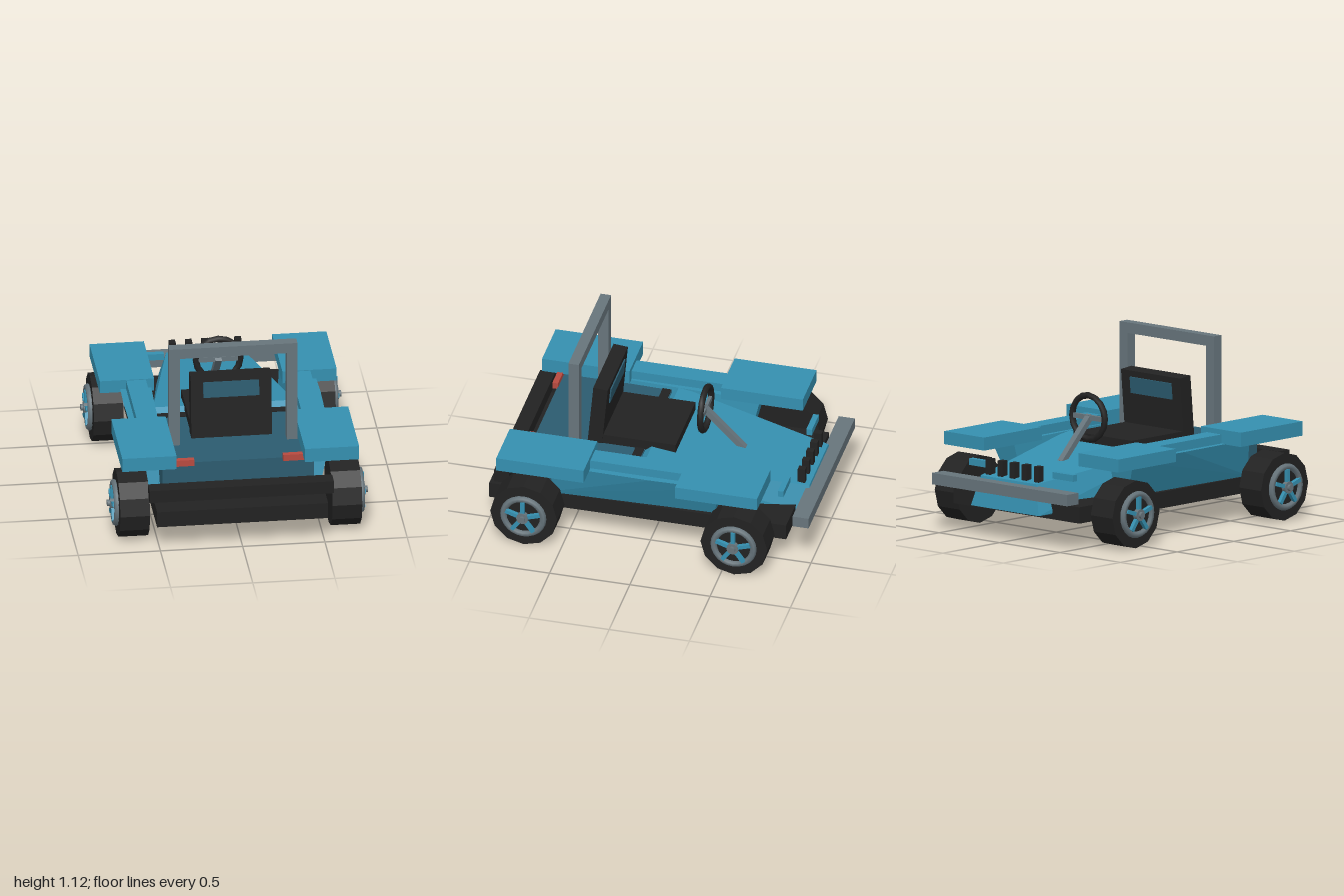
import * as THREE from 'three';
import { ConvexGeometry } from 'three/addons/geometries/ConvexGeometry.js';

const mat = (name, color) => {
  const m = new THREE.MeshStandardMaterial({ color });
  m.name = name;
  return m;
};

export function createModel() {
  const blue = mat('body blue', 0x3590b0);
  const teal = mat('dark teal', 0x2c5c70);
  const black = mat('black', 0x222222);
  const grey = mat('metal grey', 0x67757c);
  const red = mat('lamp red', 0xb84a40);
  const model = new THREE.Group();
  model.name = 'buggy';

  const add = (name, geometry, material, parent = model) => {
    const mesh = new THREE.Mesh(geometry, material);
    mesh.name = name;
    parent.add(mesh);
    return mesh;
  };
  // Box given by its limits on each axis
  const box = (name, material, [x0, x1], [y0, y1], [z0, z1], parent) => {
    const mesh = add(name, new THREE.BoxGeometry(x1 - x0, y1 - y0, z1 - z0), material, parent);
    mesh.position.set((x0 + x1) / 2, (y0 + y1) / 2, (z0 + z1) / 2);
    return mesh;
  };
  // The same box on both sides
  const pair = (name, material, [x0, x1], y, z) => {
    box(name + 'Left', material, [x0, x1], y, z);
    box(name + 'Right', material, [-x1, -x0], y, z);
  };
  const hull = (name, material, points) =>
    add(name, new ConvexGeometry(points.map(p => new THREE.Vector3(...p))), material);
  const mirrored = points => points.flatMap(([x, y, z]) => [[x, y, z], [-x, y, z]]);
  // Cylinder along x
  const disc = (name, material, r, x0, x1, sides, parent) => {
    const g = new THREE.CylinderGeometry(r, r, x1 - x0, sides).rotateZ(-Math.PI / 2);
    const mesh = add(name, g, material, parent);
    mesh.position.x = (x0 + x1) / 2;
    return mesh;
  };

  // Chassis and rear bar
  box('chassis', black, [-0.52, 0.52], [0.16, 0.26], [-0.85, 1]);
  box('rearBar', black, [-0.56, 0.56], [0.305, 0.385], [0.865, 0.96]);

  // Tapered hood with a sloping nose and cowl
  hull('hood', blue, mirrored([
    [0.23, 0.375, -0.92], [0.28, 0.19, -0.955], [0.29, 0.19, -0.86],
    [0.43, 0.5, 0.06], [0.44, 0.46, 0.11], [0.46, 0.265, 0.11],
  ]));

  // Side pods, undercut towards the front
  for (const s of [1, -1]) {
    hull(s > 0 ? 'sidePodLeft' : 'sidePodRight', blue, [
      [0.59, 0.5, 0.57], [0.6, 0.5, -0.02], [0.59, 0.5, -0.45],
      [0.53, 0.265, 0.63], [0.5, 0.265, -0.4],
      [0.43, 0.5, 0.57], [0.42, 0.5, -0.02], [0.4, 0.5, -0.45],
      [0.43, 0.265, 0.63], [0.38, 0.265, -0.4],
    ].map(([x, y, z]) => [s * x, y, z]));
  }
  pair('sideRail', blue, [0.44, 0.56], [0.49, 0.555], [-0.22, 0.37]);

  // Tub and cockpit
  box('floorPan', blue, [-0.47, 0.47], [0.262, 0.285], [0.1, 0.77]);
  box('rearTub', teal, [-0.46, 0.46], [0.285, 0.475], [0.1, 0.78]);
  box('footwell', black, [-0.42, 0.42], [0.44, 0.48], [0.105, 0.16]);

  // Fenders
  pair('rearFender', blue, [0.39, 0.72], [0.497, 0.585], [0.36, 0.905]);
  pair('frontFender', blue, [0.39, 0.72], [0.48, 0.56], [-0.72, -0.21]);

  // Seat
  box('seatCushion', black, [-0.24, 0.24], [0.44, 0.535], [-0.09, 0.4]);
  const back = new THREE.Group();
  back.name = 'seatBack';
  back.position.set(0, 0.48, 0.412);
  back.rotation.x = -0.09;
  model.add(back);
  box('backrest', black, [-0.245, 0.245], [-0.03, 0.388], [-0.045, 0.045], back);
  box('headPadFront', teal, [-0.17, 0.17], [0.25, 0.35], [-0.053, -0.045], back);
  box('headPadRear', teal, [-0.17, 0.17], [0.25, 0.35], [0.045, 0.051], back);

  // Roll bar
  pair('rollBarPost', grey, [0.325, 0.39], [0.47, 1.055], [0.475, 0.54]);
  box('rollBarTop', grey, [-0.39, 0.39], [1.055, 1.12], [0.475, 0.54]);

  // Steering wheel and column
  const rim = add('steeringWheel', new THREE.TorusGeometry(0.135, 0.02, 6, 16), black);
  rim.position.set(0, 0.667, -0.215);
  box('steeringSpoke', grey, [-0.13, 0.13], [0.652, 0.682], [-0.225, -0.205]);
  const column = add('steeringColumn', new THREE.BoxGeometry(0.04, 0.36, 0.035), grey);
  column.position.set(0, 0.548, -0.33);
  column.rotation.x = Math.PI / 4;

  // Bumper, grille pegs and lamps
  box('frontBumper', grey, [-0.56, 0.56], [0.29, 0.36], [-1, -0.9]);
  for (let i = -2; i <= 2; i++) {
    box('grillePeg', black, [i * 0.1 - 0.02, i * 0.1 + 0.02], [0.36, 0.475], [-0.89, -0.845]);
  }
  pair('headlamp', blue, [0.26, 0.43], [0.4, 0.44], [-0.81, -0.775]);
  pair('tailLamp', red, [0.27, 0.415], [0.465, 0.505], [0.775, 0.81]);

  // Wheels, with the outer face along local +x
  for (const [end, z] of [['rear', 0.73], ['front', -0.58]]) {
    const axle = disc(end + 'Axle', grey, 0.022, -0.57, 0.57, 10);
    axle.position.set(0, 0.215, z);
    for (const s of [1, -1]) {
      const wheel = new THREE.Group();
      wheel.name = end + (s > 0 ? 'WheelLeft' : 'WheelRight');
      wheel.position.set(0, 0.208, z);
      wheel.rotation.y = s > 0 ? 0 : Math.PI;
      model.add(wheel);
      const tyreMat = black;
      const tyre = disc('tyre', tyreMat, 0.208, 0.555, 0.735, 12, wheel);
      tyre.geometry = tyre.geometry.toNonIndexed();
      tyre.geometry.computeVertexNormals();
      disc('rimDisc', black, 0.14, 0.73, 0.745, 20, wheel);
      const ring = add('rimRing', new THREE.TorusGeometry(0.123, 0.021, 6, 24).rotateY(Math.PI / 2), grey, wheel);
      ring.position.x = 0.743;
      disc('hub', grey, 0.037, 0.74, 0.775, 12, wheel);
      disc('hubCap', grey, 0.02, 0.775, 0.792, 10, wheel);
      for (let i = 0; i < 5; i++) {
        const spoke = new THREE.Group();
        spoke.name = 'spoke';
        spoke.rotation.x = (i * 2 * Math.PI) / 5;
        wheel.add(spoke);
        box('spokeBar', blue, [0.745, 0.77], [0.02, 0.112], [-0.012, 0.012], spoke);
      }
    }
  }
  return model;
}
